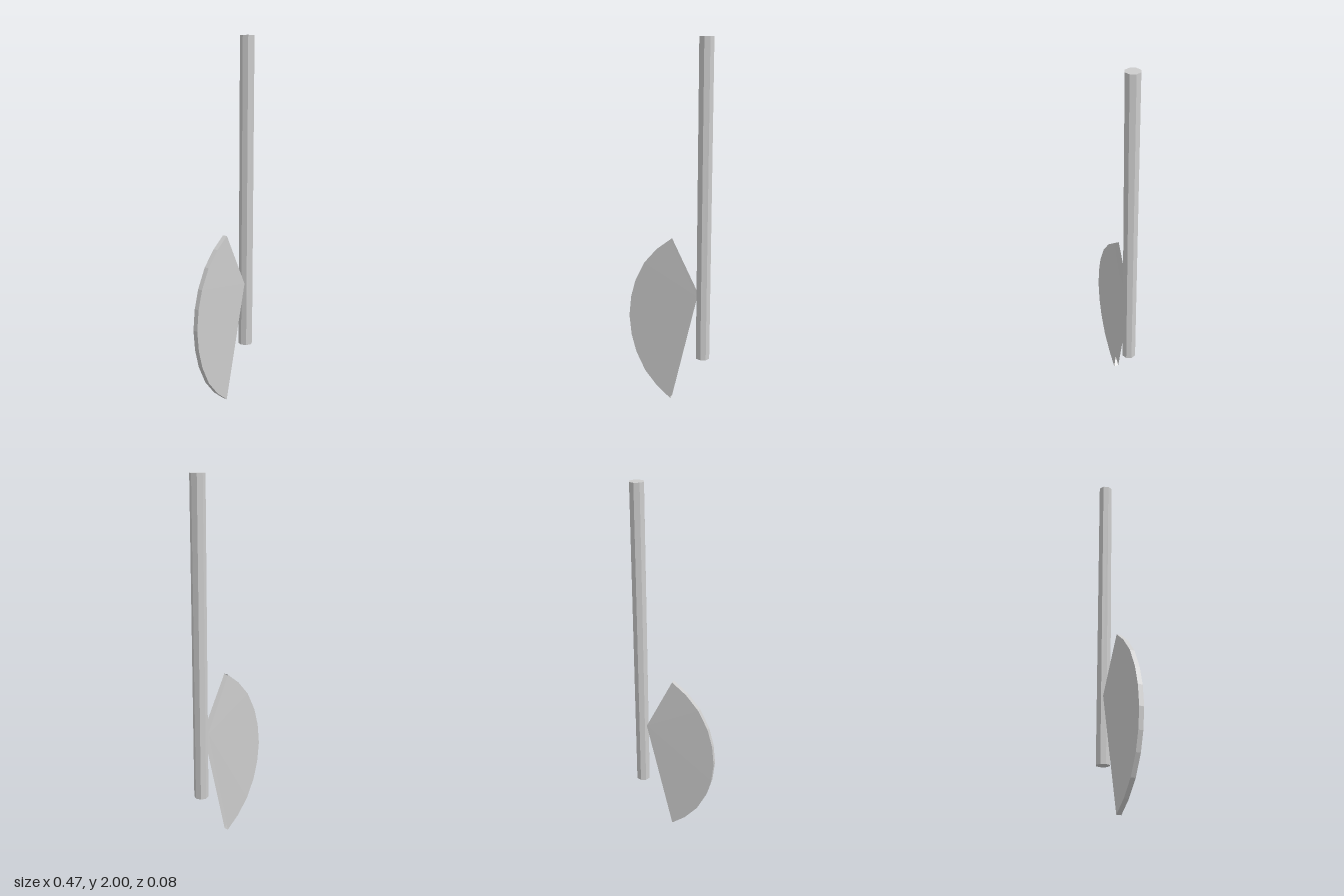
import * as THREE from 'three';

export function createModel() {
  const model = new THREE.Group();
  const steel = new THREE.MeshStandardMaterial({ name: 'grey', color: 0xcccccc, side: THREE.DoubleSide, flatShading: true });

  // Eight-sided handle with corners on the x and z axes
  const handle = new THREE.Mesh(new THREE.CylinderGeometry(0.039, 0.039, 1.72, 8), steel);
  handle.name = 'handle';
  handle.position.set(0.196, 1.14, 0);
  model.add(handle);

  // Upper half of the curved cutting edge, mirrored about its middle
  const middle = 0.473;
  const upper = [[0.01, 0.473], [-0.07, 0.41], [-0.143, 0.325], [-0.197, 0.217], [-0.225, 0.115], [-0.237, 0]];
  const lower = upper.slice(0, -1).reverse().map(([x, y]) => [x, -y]);
  const edge = [...upper, ...lower].map(([x, y]) => [x, y + middle]);
  const apex = [0.16, 0.646];
  const halfEdge = 0.0135, halfApex = 0.0195;

  const addMesh = (name, positions) => {
    const geometry = new THREE.BufferGeometry();
    geometry.setAttribute('position', new THREE.Float32BufferAttribute(positions, 3));
    geometry.computeVertexNormals();
    const mesh = new THREE.Mesh(geometry, steel);
    mesh.name = name;
    model.add(mesh);
  };

  // Blade cheeks fan out from the apex; the rim joins them and the back stays open
  const front = [], back = [], rim = [];
  for (let i = 0; i < edge.length - 1; i++) {
    const a = edge[i], b = edge[i + 1], z = halfEdge;
    front.push(...apex, halfApex, ...a, z, ...b, z);
    back.push(...apex, -halfApex, ...b, -z, ...a, -z);
    rim.push(...a, z, ...a, -z, ...b, -z, ...a, z, ...b, -z, ...b, z);
  }
  addMesh('bladeFront', front);
  addMesh('bladeBack', back);
  addMesh('cuttingEdge', rim);
  return model;
}
